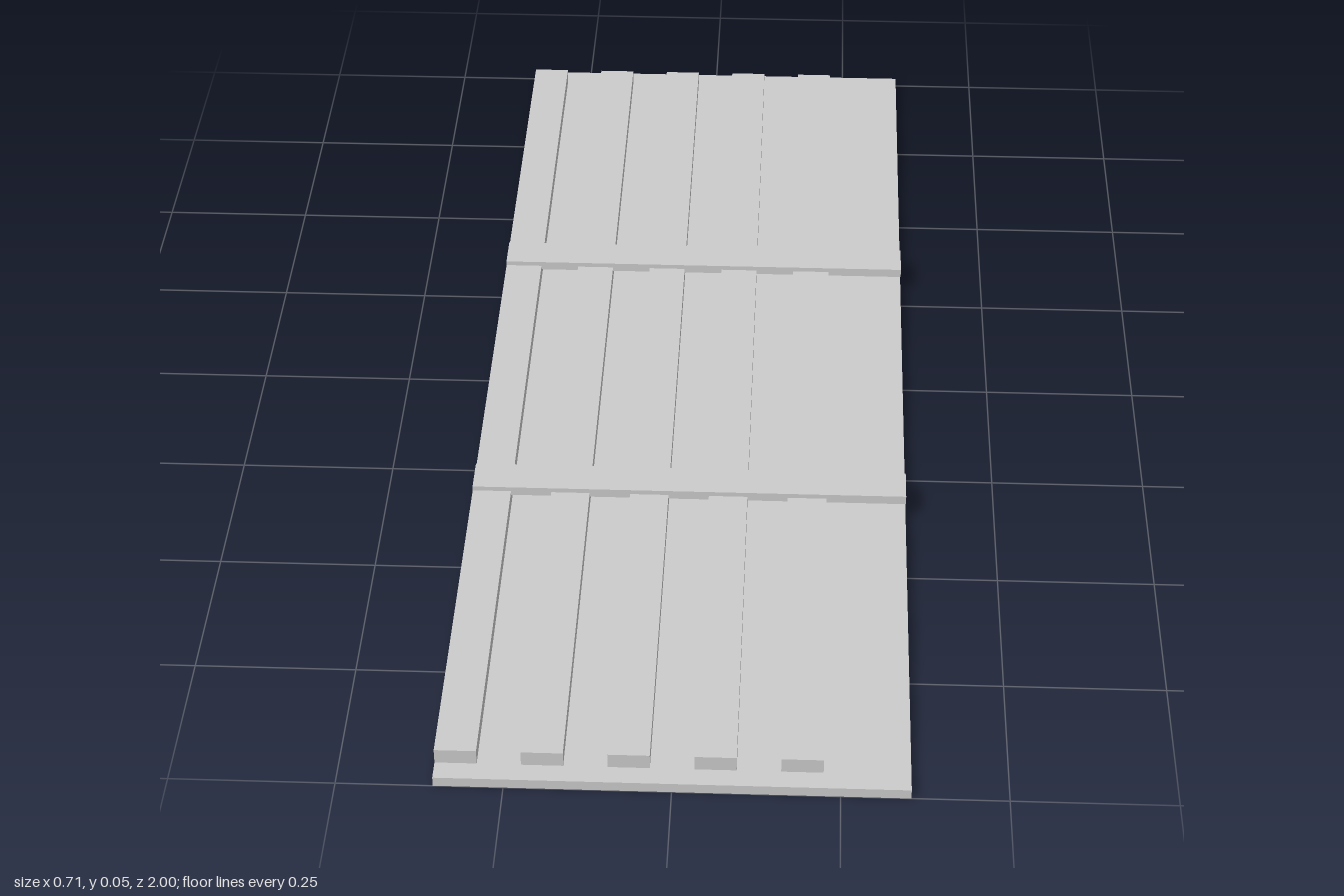
import * as THREE from 'three';

export function createModel() {
  const model = new THREE.Group();
  const material = new THREE.MeshStandardMaterial({ color: 0xcccccc });

  // Box from its size, bottom height and centre in plan
  function board(name, width, height, depth, x, bottom, z) {
    const mesh = new THREE.Mesh(new THREE.BoxGeometry(width, height, depth), material);
    mesh.name = name;
    mesh.position.set(x, bottom + height / 2, z);
    model.add(mesh);
  }

  const width = 0.709;

  // Thin base panel
  board('basePanel', width, 0.0165, 2, 0, 0, 0);

  // Five lengthwise slats, spaced from the right edge
  const slatWidth = 0.063;
  for (let i = 0; i < 5; i++) {
    const x = -width / 2 + slatWidth / 2 + i * 0.129;
    board(`slat${i + 1}`, slatWidth, 0.025, 1.935, x, 0.0165, 0);
  }

  // Two battens let into the tops of the slats
  for (const side of [-1, 1]) {
    board(side > 0 ? 'frontBatten' : 'backBatten', width, 0.0155, 0.061, 0, 0.034, side * 0.323);
  }

  return model;
}
